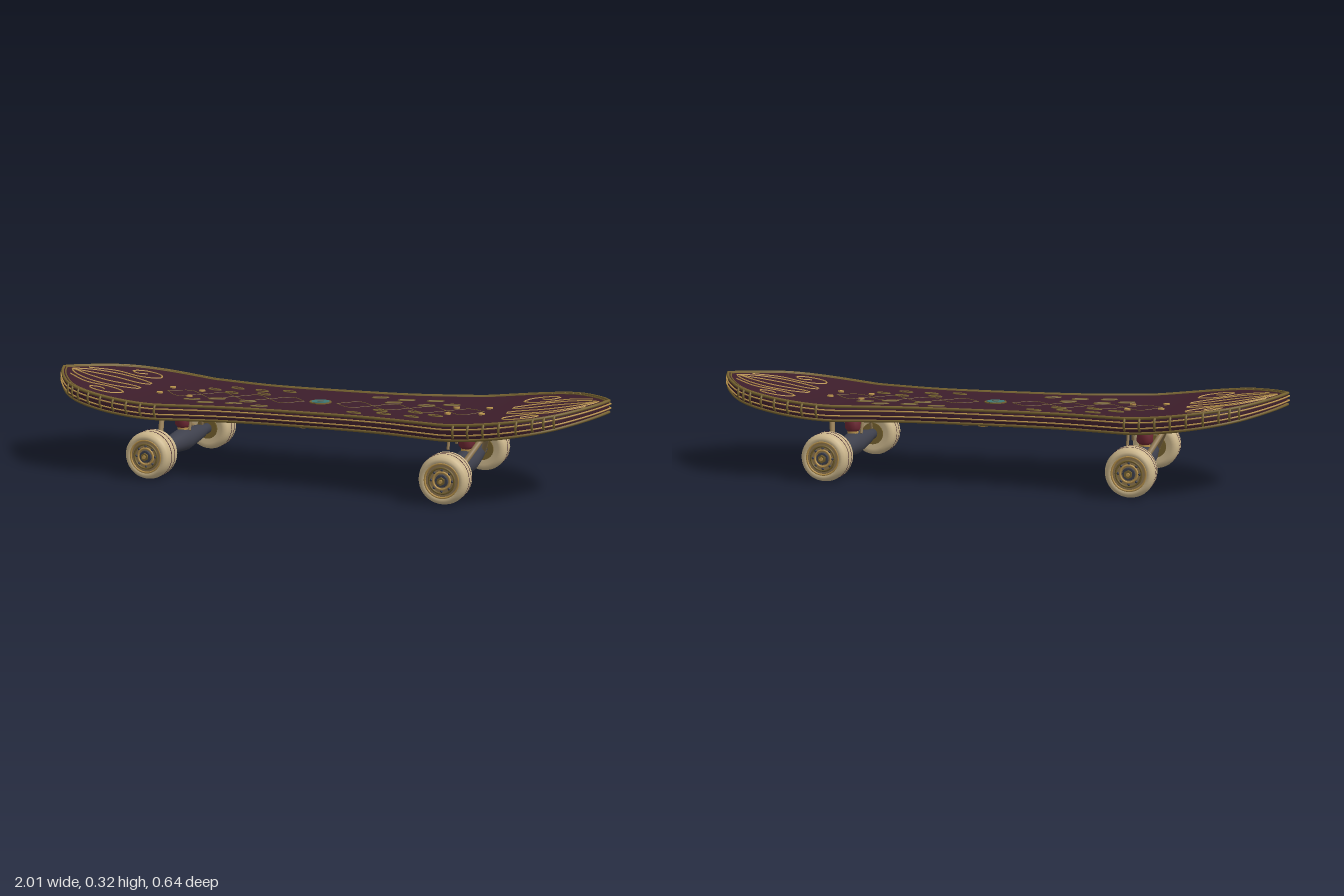
import * as THREE from 'three';

const mat = (name, color) => new THREE.MeshStandardMaterial({ name, color });
const V = (x, y, z) => new THREE.Vector3(x, y, z);

export function createModel() {
  const plum = mat('plum', 0x3d1e2b), darkPlum = mat('dark plum', 0x2a1520);
  const gold = mat('gold', 0xb8924c), bronze = mat('bronze', 0x75612f), cream = mat('cream', 0xcbb68c);
  const steel = mat('gunmetal', 0x3e404c), red = mat('red', 0x6e2833), teal = mat('teal', 0x3f7672);
  const tan = mat('tan', 0x8d7650), sage = mat('sage', 0x56685a);
  const root = new THREE.Group();
  root.name = 'skateboard';

  const add = (parent, name, geo, material, x = 0, y = 0, z = 0) => {
    const m = new THREE.Mesh(geo, material);
    m.name = name;
    m.position.set(x, y, z);
    parent.add(m);
    return m;
  };
  const group = (name, parent = root) => {
    const g = new THREE.Group();
    g.name = name;
    parent.add(g);
    return g;
  };
  const alongZ = (r0, r1, h, n = 24) => new THREE.CylinderGeometry(r1, r0, h, n).rotateX(Math.PI / 2);
  const disc = (r, h, n = 24) => new THREE.CylinderGeometry(r, r, h, n);
  const profile = (pts) => pts.map(([r, y]) => new THREE.Vector2(r, y));

  // Deck outline and curved height
  const quarter = [[0.994, 0], [0.965, 0.065], [0.91, 0.15], [0.86, 0.208], [0.8, 0.248], [0.7, 0.278],
    [0.6, 0.282], [0.5, 0.268], [0.4, 0.247], [0.3, 0.228], [0.2, 0.218], [0, 0.214]];
  const half = [...quarter.map(([x, z]) => V(-x, 0, z)), ...quarter.slice(0, -1).reverse().map(([x, z]) => V(x, 0, z))];
  const edge = new THREE.CatmullRomCurve3(half).getPoints(132);
  const topY = (x, z) => 0.25 + 0.071 * Math.pow(Math.max(0, (Math.abs(x) - 0.5) / 0.5), 1.4) + 0.09 * z * z;
  const botY = (x) => topY(x, 0) - 0.045 + 0.005 * Math.pow(Math.abs(x), 4);
  const sideY = (x, z, t) => THREE.MathUtils.lerp(botY(x), topY(x, z), t);

  // Skin made from one row of points for each outline station
  const loft = (row) => {
    const pos = [], idx = [], n = row(edge[0]).length;
    edge.forEach((p) => row(p).forEach(([y, z]) => pos.push(p.x, y, z)));
    for (let i = 0; i < edge.length - 1; i++) for (let j = 0; j < n - 1; j++) {
      const a = i * n + j, b = a + n;
      idx.push(a, b, a + 1, b, b + 1, a + 1);
    }
    const g = new THREE.BufferGeometry();
    g.setAttribute('position', new THREE.Float32BufferAttribute(pos, 3));
    g.setIndex(idx);
    g.computeVertexNormals();
    return g;
  };
  const deck = group('deck');
  const across = [1, 0.75, 0.5, 0.25, 0, -0.25, -0.5, -0.75, -1];
  add(deck, 'deck top', loft((p) => across.map((u) => [topY(p.x, u * p.z), u * p.z])), plum);
  add(deck, 'deck underside', loft((p) => across.map((u) => [botY(p.x), -u * p.z])), darkPlum);
  for (const s of [1, -1]) {
    const steps = s > 0 ? [0, 0.25, 0.5, 0.75, 1] : [1, 0.75, 0.5, 0.25, 0];
    add(deck, 'deck side', loft((p) => steps.map((t) =>
      [sideY(p.x, p.z, t), s * (p.z + 0.02 * t * (1 - t) * Math.min(1, p.z * 8))])), plum);
  }

  // Rim trims that follow the whole outline
  const trim = (name, r, material, k, yOf) => {
    const h = edge.map((p) => V(p.x * (1 - k * 0.25), 0, p.z * (1 - k)));
    const loop = [...h, ...h.slice(1, -1).reverse().map((p) => V(p.x, 0, -p.z))];
    loop.forEach((p) => { p.y = yOf(p.x, p.z); });
    add(deck, name, new THREE.TubeGeometry(new THREE.CatmullRomCurve3(loop, true), 200, r, 12, true), material);
  };
  trim('upper rim', 0.005, bronze, 0, (x, z) => topY(x, z));
  trim('lower rim', 0.005, bronze, 0, (x) => botY(x) + 0.003);
  trim('side stripe', 0.0026, gold, -0.022, (x, z) => sideY(x, z, 0.74));
  trim('side stripe', 0.0026, gold, -0.024, (x, z) => sideY(x, z, 0.38));
  trim('top outer border', 0.003, bronze, 0.045, (x, z) => topY(x, z));
  trim('bottom inner border', 0.0035, bronze, 0.12, (x) => botY(x));

  // Cord wraps around the wide parts of the rim
  const wraps = group('rim wraps');
  edge.forEach((p, i) => {
    if (i % 3 || Math.abs(p.x) < 0.5 || Math.abs(p.x) > 0.88) return;
    for (const s of [1, -1]) {
      const w = add(wraps, 'wrap', new THREE.TorusGeometry(0.02, 0.004, 10, 16), bronze, p.x, sideY(p.x, p.z, 0.6), s * (p.z - 0.002));
      w.rotation.y = Math.PI / 2;
      w.scale.x = 0.75;
    }
  });

  // Raised line work laid on the top or the underside
  const line = (parent, name, pts, { under = false, material = gold, closed = false, r = 0.003, drop = 0.001 } = {}) => {
    const c = new THREE.CatmullRomCurve3(pts.map(([x, z]) => V(x, 0, z)), closed).getPoints(pts.length * 3);
    if (closed) c.pop();
    c.forEach((p) => { p.y = under ? botY(p.x) - drop : topY(p.x, p.z); });
    add(parent, name, new THREE.TubeGeometry(new THREE.CatmullRomCurve3(c, closed), c.length, r, 12, closed), material);
  };
  const oval = (cx, cz, rx, rz, turn = 0, n = 10) => Array.from({ length: n }, (_, i) => {
    const a = i / n * Math.PI * 2, x = rx * Math.cos(a), z = rz * Math.sin(a);
    return [cx + x * Math.cos(turn) - z * Math.sin(turn), cz + x * Math.sin(turn) + z * Math.cos(turn)];
  });
  const topArt = group('top filigree'), lowArt = group('underside filigree');
  const lobe = [[0.96, 0], [0.91, 0.055], [0.82, 0.088], [0.72, 0.078], [0.66, 0.045], [0.7, 0.025], [0.8, 0.035], [0.89, 0.02]];
  const swirl = [[0.93, 0.07], [0.84, 0.12], [0.74, 0.115], [0.68, 0.15], [0.7, 0.195], [0.77, 0.2], [0.8, 0.17], [0.77, 0.15], [0.74, 0.17]];
  const leaves = [[0.17, 0.145], [0.27, 0.13], [0.37, 0.145], [0.44, 0.1], [0.24, 0.075], [0.36, 0.065]];
  const vine = [[0.2, 0.13], [0.28, 0.17], [0.37, 0.15], [0.4, 0.19], [0.5, 0.2], [0.58, 0.17], [0.55, 0.14]];
  for (const sx of [1, -1]) {
    for (const sz of [1, -1]) {
      const flip = (pts) => pts.map(([x, z]) => [x * sx, z * sz]);
      line(topArt, 'nose lobe', flip(lobe), { closed: true });
      line(topArt, 'nose swirl', flip(swirl));
      for (const [x, z] of leaves) {
        line(topArt, 'leaf', flip(oval(x, z, 0.028, 0.011, 0.35, 8)), { closed: true, material: bronze });
      }
      for (let k = 0; k < 4; k++) {
        const x = 0.06 + k * 0.13;
        line(topArt, 'lattice', flip([[x, 0], [x + 0.065, 0.055], [x + 0.13, 0]]), { material: bronze, r: 0.0015 });
      }
      line(lowArt, 'tail swirl', flip(swirl), { under: true, material: bronze });
      line(lowArt, 'side vine', flip(vine), { under: true, r: 0.004 });
      line(lowArt, 'side scroll', flip(oval(0.77, 0.06, 0.07, 0.022)), { under: true, closed: true, r: 0.004 });
      for (const x of [0.28, 0.38, 0.62]) {
        line(lowArt, 'leaf', flip(oval(x, 0.11, 0.032, 0.013, -0.4, 8)), { under: true, closed: true });
      }
      // Mounting bolts
      for (const x of [0.47, 0.585]) add(topArt, 'bolt', disc(0.011, 0.006, 16), gold, sx * x, topY(x, 0.055) + 0.002, sz * 0.055);
    }
    line(lowArt, 'tail oval', oval(sx * 0.78, 0, 0.12, 0.07, 0, 16), { under: true, closed: true, r: 0.006 });
    line(lowArt, 'tail inner oval', oval(sx * 0.78, 0, 0.08, 0.04, 0, 14), { under: true, closed: true, r: 0.006, material: bronze });
    const jewel = add(lowArt, 'tail jewel', new THREE.SphereGeometry(0.02, 14, 8), teal, sx * 0.78, botY(0.78), 0);
    jewel.scale.y = 0.3;
  }

  // Gem in the middle of the top
  add(topArt, 'gem setting', disc(0.038, 0.005), bronze, 0, 0.251, 0);
  add(topArt, 'gem', disc(0.033, 0.006, 8), teal, 0, 0.252, 0);
  add(topArt, 'gem centre', disc(0.012, 0.006, 8), sage, 0, 0.254, 0);

  // Flower medallion under the deck
  const medal = group('medallion');
  const mY = botY(0);
  for (let i = 0; i < 16; i++) {
    const a = i / 16 * Math.PI * 2, c = Math.cos(a), s = Math.sin(a);
    line(medal, 'petal edge', oval(c * 0.125, s * 0.125, 0.056, 0.022, a), { under: true, closed: true, r: 0.0045, drop: 0.007 });
    const petal = add(medal, 'petal', disc(1, 0.008, 14), sage, c * 0.122, mY - 0.004, s * 0.122);
    petal.scale.set(0.052, 1, 0.019);
    petal.rotation.y = -a;
  }
  add(medal, 'medallion disc', disc(0.075, 0.014, 32), bronze, 0, mY - 0.007, 0);
  for (const [r, m] of [[0.07, gold], [0.05, teal], [0.036, gold]]) {
    add(medal, 'medallion ring', new THREE.TorusGeometry(r, 0.005, 10, 32).rotateX(Math.PI / 2), m, 0, mY - 0.015, 0);
  }
  add(medal, 'medallion gem', new THREE.SphereGeometry(0.031, 18, 10), red, 0, mY - 0.014, 0).scale.y = 0.5;

  // Rod between two points
  const rod = (parent, name, a, b, r, material) => {
    const m = add(parent, name, new THREE.CylinderGeometry(r, r, a.distanceTo(b), 14), material);
    m.position.copy(a).add(b).multiplyScalar(0.5);
    m.quaternion.setFromUnitVectors(V(0, 1, 0), b.clone().sub(a).normalize());
  };

  // Wheel with its outer face towards local +z
  const wheelShape = profile([[0.03, -0.045], [0.058, -0.05], [0.07, -0.048], [0.078, -0.04], [0.082, -0.024], [0.082, 0.024],
    [0.078, 0.04], [0.07, 0.048], [0.06, 0.05], [0.055, 0.043], [0, 0.043]]);
  const makeWheel = (parent, z, s) => {
    const w = group('wheel', parent);
    w.position.set(0, 0.083, z);
    if (s < 0) w.rotation.y = Math.PI;
    add(w, 'tyre', new THREE.LatheGeometry(wheelShape, 40).rotateX(Math.PI / 2), cream);
    for (const q of [-0.012, 0.013]) add(w, 'tyre stripe', alongZ(0.0824, 0.0824, 0.0035, 40), plum, 0, 0, q);
    add(w, 'inner hub', alongZ(0.04, 0.04, 0.01), bronze, 0, 0, -0.047);
    add(w, 'hub plate', alongZ(0.055, 0.055, 0.004), tan, 0, 0, 0.043);
    for (const [r, m] of [[0.056, gold], [0.042, bronze], [0.028, gold]]) {
      add(w, 'hub ring', new THREE.TorusGeometry(r, 0.0035, 10, 32), m, 0, 0, 0.046);
    }
    for (let i = 0; i < 8; i++) {
      const a = i * Math.PI / 4;
      add(w, 'hub stud', new THREE.SphereGeometry(0.0045, 12, 8), steel, 0.035 * Math.cos(a), 0.035 * Math.sin(a), 0.045);
    }
    add(w, 'hub centre', alongZ(0.022, 0.02, 0.01), steel, 0, 0, 0.047);
    add(w, 'axle nut', alongZ(0.014, 0.014, 0.012, 6), bronze, 0, 0, 0.053);
    add(w, 'axle end', alongZ(0.007, 0.006, 0.01, 14), gold, 0, 0, 0.058);
  };

  // Trucks
  const hanger = profile([[0, -0.212], [0.019, -0.212], [0.021, -0.165], [0.025, -0.152], [0.034, -0.075], [0.041, 0],
    [0.034, 0.075], [0.025, 0.152], [0.021, 0.165], [0.019, 0.212], [0, 0.212]]);
  const bushing = profile([[0, 0.128], [0.02, 0.128], [0.028, 0.138], [0.028, 0.16], [0.024, 0.175], [0, 0.175]]);
  for (const s of [1, -1]) {
    const t = group(s > 0 ? 'left truck' : 'right truck');
    t.position.x = s * 0.522;
    add(t, 'riser', new THREE.BoxGeometry(0.185, 0.006, 0.16), bronze, 0, 0.204, 0);
    add(t, 'baseplate', new THREE.BoxGeometry(0.165, 0.02, 0.145), steel, 0, 0.193, 0);
    add(t, 'pivot block', new THREE.CylinderGeometry(0.04, 0.032, 0.014, 20), steel, 0, 0.178, 0);
    add(t, 'bushing', new THREE.LatheGeometry(bushing, 20), red);
    add(t, 'bushing washer', disc(0.02, 0.01, 16), gold, 0, 0.125, 0);
    add(t, 'hanger', new THREE.LatheGeometry(hanger, 24).rotateX(Math.PI / 2), steel, 0, 0.083, 0);
    for (const z of [1, -1]) {
      rod(t, 'strut', V(s * 0.018, 0.089, z * 0.157), V(s * 0.068, 0.183, z * 0.026), 0.0095, tan);
      add(t, 'strut end', new THREE.SphereGeometry(0.0105, 14, 10), tan, s * 0.018, 0.089, z * 0.157);
      for (const x of [-0.055, 0.06]) rod(t, 'bolt pin', V(x, 0.19, z * 0.055), V(x, 0.172, z * 0.055), 0.006, gold);
      rod(t, 'brace', V(-s * 0.05, 0.185, z * 0.035), V(-s * 0.05, 0.13, z * 0.055), 0.005, tan);
      makeWheel(t, z * 0.259, z);
    }
  }
  return root;
}
